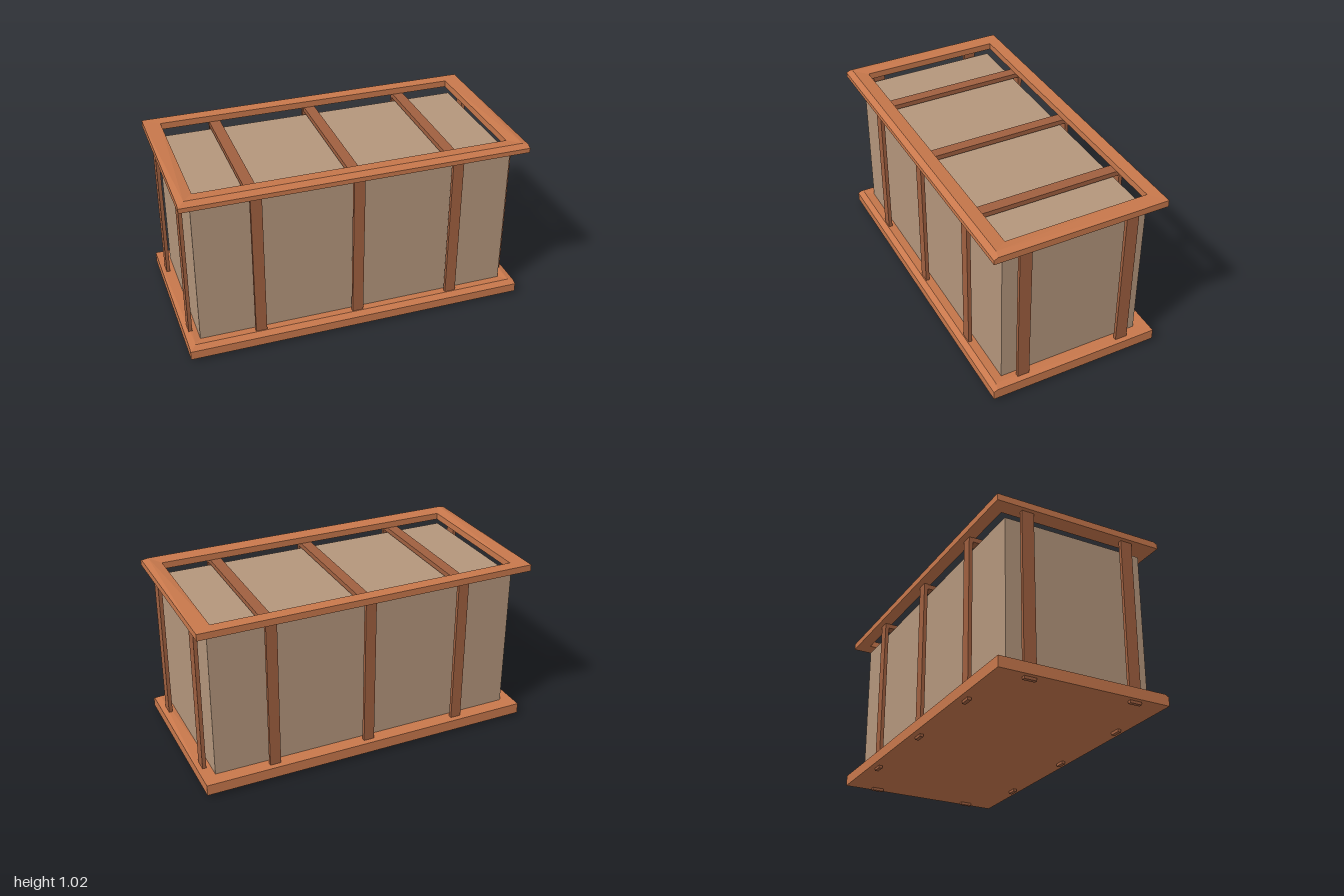
import * as THREE from 'three';

const railMat = new THREE.MeshStandardMaterial({ color: 0xc8784c });
const postMat = new THREE.MeshStandardMaterial({ color: 0xa06040 });
const boxMat = new THREE.MeshStandardMaterial({ color: 0xb4967c });

// Box given by its extents along each axis
function block(name, mat, [x0, x1], [y0, y1], [z0, z1]) {
  const mesh = new THREE.Mesh(new THREE.BoxGeometry(x1 - x0, y1 - y0, z1 - z0), mat);
  mesh.position.set((x0 + x1) / 2, (y0 + y1) / 2, (z0 + z1) / 2);
  mesh.name = name;
  return mesh;
}

// Rectangular deck with a raised, bevelled front ridge; modelled as the +x half and mirrored
function deck(name, y0, y1, open) {
  const A = [1, y1 - 0.012, 0.51], B = [1, y1, 0.487], C = [1, y1, -0.51];
  const R = [0.963, y1 + 0.01, 0.479], I = [0.904, y1, 0.401], J = [0.904, y1, -0.436];
  const low = (p) => [p[0], y0, p[2]];
  const mid = (p) => [0, p[1], p[2]];
  const a = low(A), c = low(C), i = low(I), j = low(J);
  const faces = [
    // bevel, ridge and flat top border
    [A, R, mid(R), mid(A)], [A, B, R], [R, I, mid(I), mid(R)],
    [B, C, R], [R, C, J], [R, J, I], [C, mid(C), mid(J), J],
    // outer walls
    [a, c, C, B, A], [mid(a), a, A, mid(A)], [c, mid(c), mid(C), C],
  ];
  if (open) {
    // underside border and inner walls
    faces.push([a, mid(a), mid(i), i], [a, i, j, c], [j, mid(j), mid(c), c],
      [j, i, I, J], [i, mid(i), mid(I), I], [mid(j), j, J, mid(J)]);
  } else {
    // floor and closed underside
    faces.push([I, J, mid(J), mid(I)], [mid(a), mid(c), c, a]);
  }
  const pos = [];
  for (const f of faces) {
    const mirrored = f.map(([x, y, z]) => [-x, y, z]).reverse();
    for (const poly of [f, mirrored]) {
      for (let k = 1; k < poly.length - 1; k++) pos.push(...poly[0], ...poly[k], ...poly[k + 1]);
    }
  }
  const geo = new THREE.BufferGeometry();
  geo.setAttribute('position', new THREE.Float32BufferAttribute(pos, 3));
  geo.computeVertexNormals();
  const mesh = new THREE.Mesh(geo, railMat);
  mesh.name = name;
  return mesh;
}

export function createModel() {
  const group = new THREE.Group();
  group.name = 'framedCrate';

  // Base slab, top rim and the solid box between them
  group.add(deck('baseSlab', 0.016, 0.08, false));
  group.add(deck('topRim', 0.974, 1.013, true));
  group.add(block('innerBox', boxMat, [-0.925, 0.922], [0.08, 0.934], [-0.425, 0.426]));

  // Front and back posts joined by cross beams under the rim
  for (const x of [-0.58, 0, 0.583]) {
    const span = [x - 0.032, x + 0.032];
    group.add(block('frontPost', postMat, span, [0, 0.975], [0.451, 0.473]));
    group.add(block('backPost', postMat, span, [0, 0.975], [-0.475, -0.453]));
    const beam = x < -0.1 ? [-0.615, -0.55] : x > 0.1 ? [0.55, 0.615] : [-0.027, 0.037];
    group.add(block('crossBeam', postMat, beam, [0.946, 0.975], [-0.453, 0.451]));
  }

  // Posts on the two ends
  for (const z of [[0.279, 0.35], [-0.35, -0.277]]) {
    group.add(block('rightEndPost', postMat, [-0.975, -0.954], [0, 0.975], z));
    group.add(block('leftEndPost', postMat, [0.949, 0.971], [0, 0.975], z));
  }
  return group;
}
